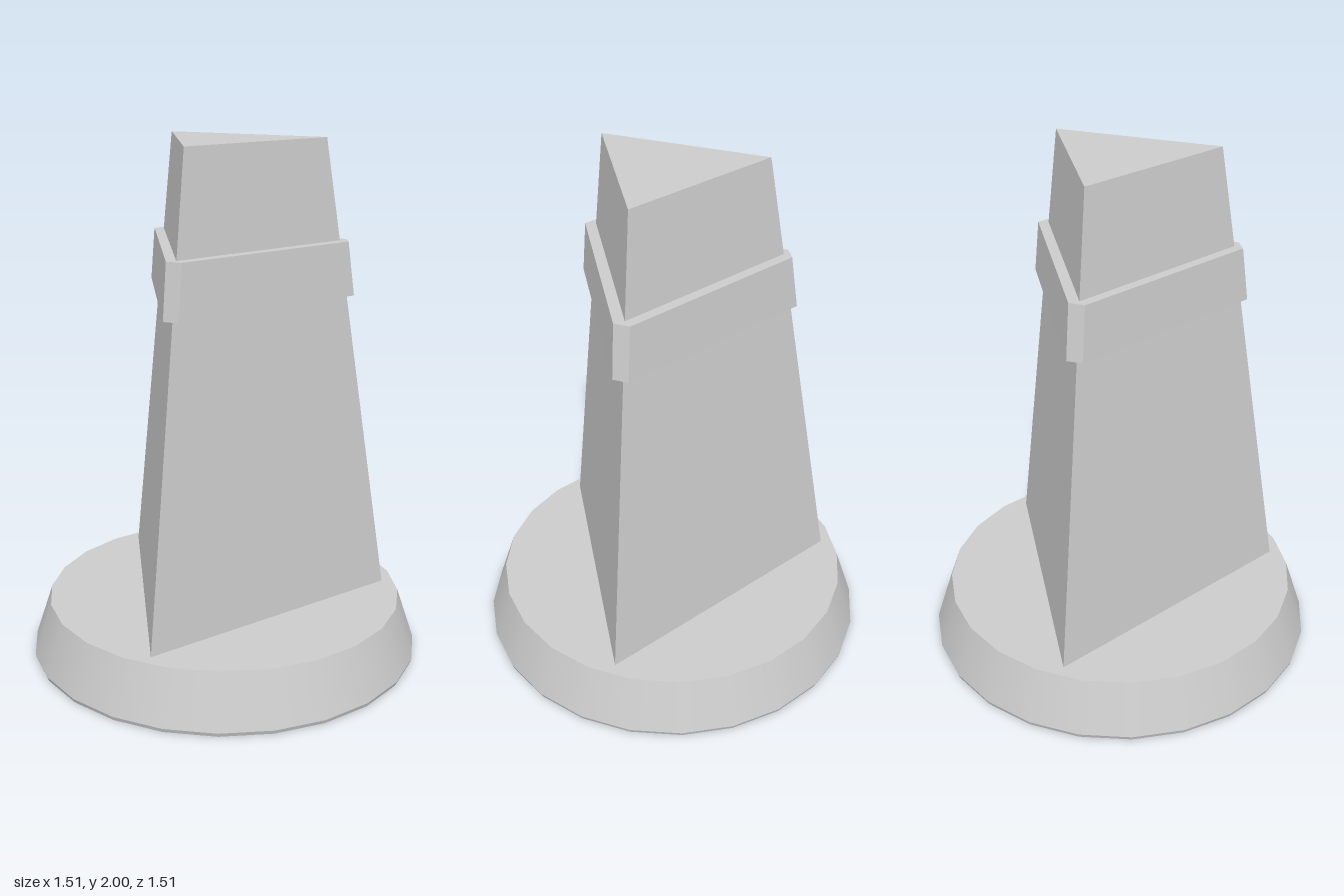
import * as THREE from 'three';
import { ConvexGeometry } from 'three/addons/geometries/ConvexGeometry.js';

const SHAFT = { bottom: 0.22, top: 2, r0: 0.645, r1: 0.365 };
const CORNERS = [15, 135, 255].map(THREE.MathUtils.degToRad);

// Triangular ring of points at height y; halfCut > 0 chamfers each corner.
function triangle(y, reach, halfCut = 0, cx = 0, cz = 0) {
  const points = [];
  for (const a of CORNERS) {
    for (const side of halfCut ? [-halfCut, halfCut] : [0]) {
      points.push(new THREE.Vector3(
        cx + reach * Math.cos(a) - side * Math.sin(a),
        y,
        cz + reach * Math.sin(a) + side * Math.cos(a),
      ));
    }
  }
  return points;
}

export function createModel() {
  const group = new THREE.Group();
  const material = new THREE.MeshStandardMaterial({ color: 0xcccccc });
  const add = (name, geometry, y = 0) => {
    const mesh = new THREE.Mesh(geometry, material);
    mesh.name = name;
    mesh.position.y = y;
    group.add(mesh);
  };

  // Round plinth with sloping rim and a thin foot edge
  const half = Math.PI / 24;
  add('base', new THREE.CylinderGeometry(0.695, 0.763, 0.205, 24, 1, false, half), 0.1175);
  add('baseFoot', new THREE.CylinderGeometry(0.763, 0.758, 0.015, 24, 1, false, half), 0.0075);

  // Tapered three-sided shaft, leaning very slightly
  add('shaft', new ConvexGeometry([
    ...triangle(SHAFT.bottom, SHAFT.r0),
    ...triangle(SHAFT.top, SHAFT.r1, 0, 0.007, 0.017),
  ]));

  // Chamfered band around the upper shaft
  add('collar', new ConvexGeometry([
    ...triangle(1.415, 0.477, 0.03, 0.007, 0.013),
    ...triangle(1.62, 0.45, 0.03, 0.007, 0.015),
  ]));

  return group;
}
